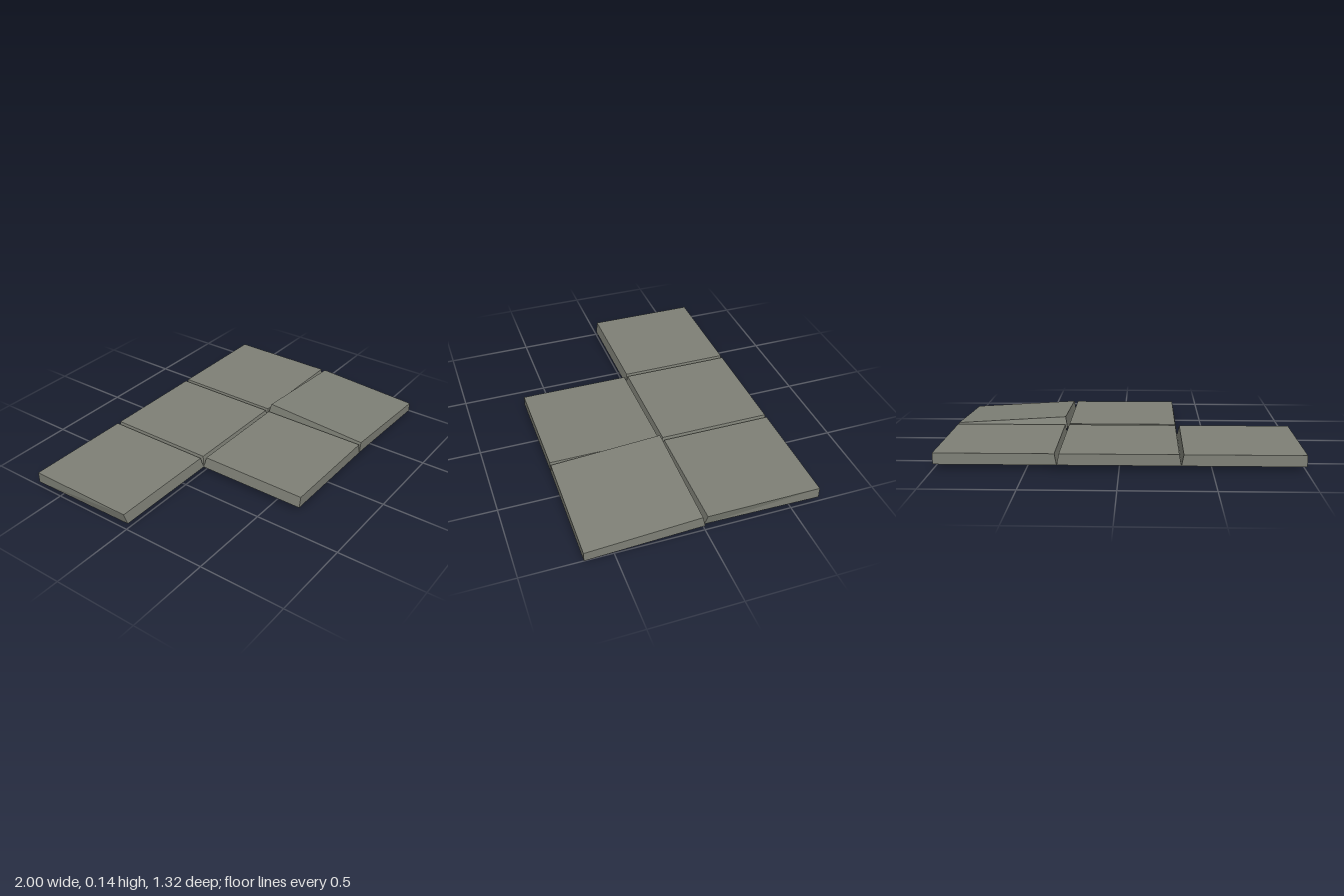
import * as THREE from 'three';

// Open-bottomed slab: four top corners, four bottom corners, each [x, y, z],
// ordered back-left, back-right, front-right, front-left as seen from above.
function slabGeometry(top, bottom) {
  const pos = [];
  const quad = (a, b, c, d) => pos.push(...a, ...b, ...c, ...a, ...c, ...d);
  quad(top[0], top[3], top[2], top[1]);
  for (let i = 0; i < 4; i++) {
    const j = (i + 1) % 4;
    quad(top[i], top[j], bottom[j], bottom[i]);
  }
  const geo = new THREE.BufferGeometry();
  geo.setAttribute('position', new THREE.Float32BufferAttribute(pos, 3));
  geo.computeVertexNormals();
  return geo;
}

export function createModel() {
  const group = new THREE.Group();
  const stone = new THREE.MeshStandardMaterial({ color: 0x7f8177, side: THREE.DoubleSide });
  stone.name = 'stone';

  const T = 1 / 3, G = 0.012; // grid line and groove half-width
  const TOP = 0.092, BOTTOM = 0.029;
  const corners = (x0, x1, z0, z1, y) => [
    [x0, y[0], z0], [x1, y[1], z0], [x1, y[2], z1], [x0, y[3], z1],
  ];
  const flat = (y) => [y, y, y, y];

  // Slabs taper upward on the sides that border a groove
  const slabs = [
    { name: 'backRightSlab', x: [-1, -T], z: [-0.663, 0], inset: [0, G, 0, G] },
    { name: 'backMiddleSlab', x: [-T, T], z: [-0.663, 0], inset: [G, G, 0, G] },
    { name: 'backLeftSlab', x: [T, 1], z: [-0.663, 0], inset: [G, 0, 0, G] },
    { name: 'frontMiddleSlab', x: [-T, T], z: [0, 0.66], inset: [G, G, G, 0] },
    // Loose slab, lifted at its inner corner
    {
      name: 'tiltedSlab', x: [T, 1], z: [0, 0.66], inset: [G, 0, G + 0.003, 0],
      top: [0.135, 0.094, 0.054, 0.094], bottom: [0.065, 0.03, 0, 0.03],
    },
  ];

  for (const s of slabs) {
    const [l, r, b, f] = s.inset;
    const top = corners(s.x[0] + l, s.x[1] - r, s.z[0] + b, s.z[1] - f, s.top || flat(TOP));
    const bottom = corners(...s.x, ...s.z, s.bottom || flat(BOTTOM));
    // Chipped lower corners at the outer ends of the cross groove
    if (s.name === 'backRightSlab') bottom[3][0] += 0.014;
    if (s.name === 'backLeftSlab') bottom[2][0] -= 0.014;
    const mesh = new THREE.Mesh(slabGeometry(top, bottom), stone);
    mesh.name = s.name;
    group.add(mesh);
  }
  return group;
}
